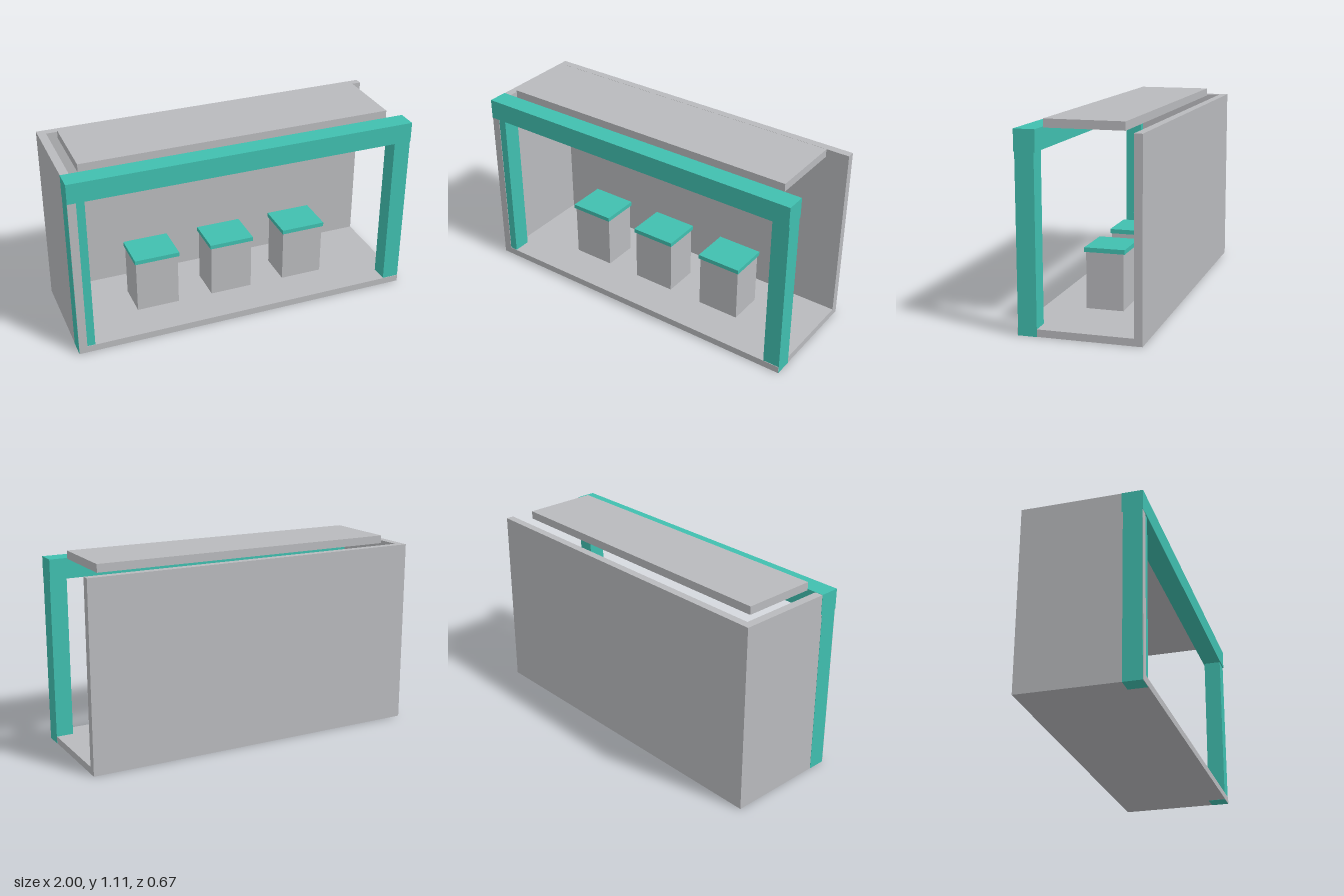
import * as THREE from 'three';

export function createModel() {
  const grey = new THREE.MeshStandardMaterial({ color: 0xb9babd });
  grey.name = 'grey panel';
  const teal = new THREE.MeshStandardMaterial({ color: 0x40bfaf });
  teal.name = 'teal trim';
  const model = new THREE.Group();
  model.name = 'shelter';

  // Axis-aligned box given by its limits on each axis
  function box(name, material, [x0, x1], [y0, y1], [z0, z1], parent = model) {
    const mesh = new THREE.Mesh(new THREE.BoxGeometry(x1 - x0, y1 - y0, z1 - z0), material);
    mesh.position.set((x0 + x1) / 2, (y0 + y1) / 2, (z0 + z1) / 2);
    mesh.name = name;
    parent.add(mesh);
    return mesh;
  }

  // Floor, back wall and the single end wall; the other end is open
  box('floor', grey, [-1, 1], [0, 0.04], [-0.334, 0.333]);
  box('backWall', grey, [-1, 1], [0.04, 1.067], [-0.334, -0.289]);
  box('endWall', grey, [-1, -0.953], [0.04, 1.067], [-0.289, 0.333]);

  // Raised roof panel
  box('roof', grey, [-0.905, 0.899], [1.064, 1.11], [-0.218, 0.215]);

  // Front frame: posts stand just proud of the end faces and underside
  box('rightPost', teal, [-1.001, -0.907], [-0.001, 0.955], [0.227, 0.33]);
  box('leftPost', teal, [0.903, 1.001], [-0.001, 0.955], [0.227, 0.33]);
  box('frontBeam', teal, [-1.001, 1.001], [0.953, 1.068], [0.22, 0.335]);

  // Three stools with overhanging seats
  for (const x of [-0.462, -0.003, 0.456]) {
    const stool = new THREE.Group();
    stool.name = 'stool';
    stool.position.x = x;
    box('stoolBase', grey, [-0.126, 0.126], [0.04, 0.356], [-0.106, 0.103], stool);
    box('stoolSeat', teal, [-0.133, 0.133], [0.356, 0.381], [-0.116, 0.112], stool);
    model.add(stool);
  }
  return model;
}
